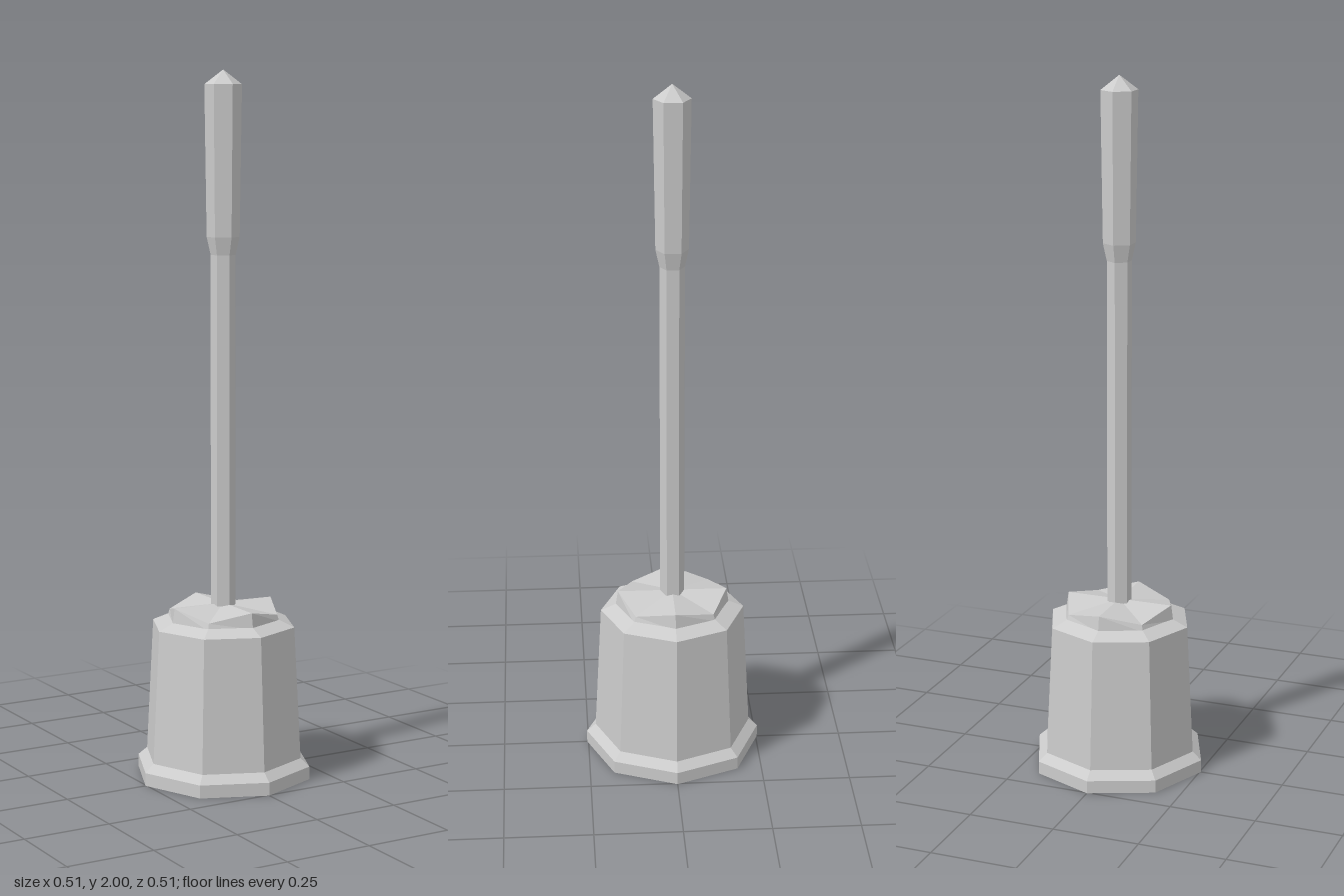
import * as THREE from 'three';

const material = new THREE.MeshStandardMaterial({ color: 0xcccccc, flatShading: true });

// Faceted turned part from a bottom-to-top [radius, height] profile
function turned(name, profile, sides) {
  const points = profile.map(([r, y]) => new THREE.Vector2(r, y));
  const mesh = new THREE.Mesh(new THREE.LatheGeometry(points, sides), material);
  mesh.name = name;
  return mesh;
}

export function createModel() {
  const model = new THREE.Group();
  model.name = 'brushAndHolder';

  // Octagonal holder: flared foot, tapering wall, sloping rim
  const foot = turned('holderFoot', [[0, 0], [0.254, 0], [0.254, 0.037], [0.228, 0.06]], 8);
  const wall = turned('holderWall', [[0.228, 0.06], [0.208, 0.44], [0.163, 0.46]], 8);

  // Lid: every second corner drops, leaving a cross of level ridges
  const lid = turned('lid', [[0.165, 0.455], [0.158, 0.5], [0, 0.5]], 8);
  const pos = lid.geometry.attributes.position;
  for (let i = 0; i < pos.count; i++) {
    const x = Math.abs(pos.getX(i)), z = Math.abs(pos.getZ(i));
    if (pos.getY(i) > 0.48 && Math.min(x, z) > 0.05) pos.setY(i, 0.474);
  }
  lid.geometry.computeVertexNormals();

  // Hexagonal rod with a thicker pointed grip
  const rod = turned('rod', [[0.035, 0.47], [0.035, 1.49]], 6);
  const grip = turned('grip', [[0.035, 1.49], [0.046, 1.54], [0.052, 1.96], [0, 2]], 6);

  model.add(foot, wall, lid, rod, grip);
  return model;
}
